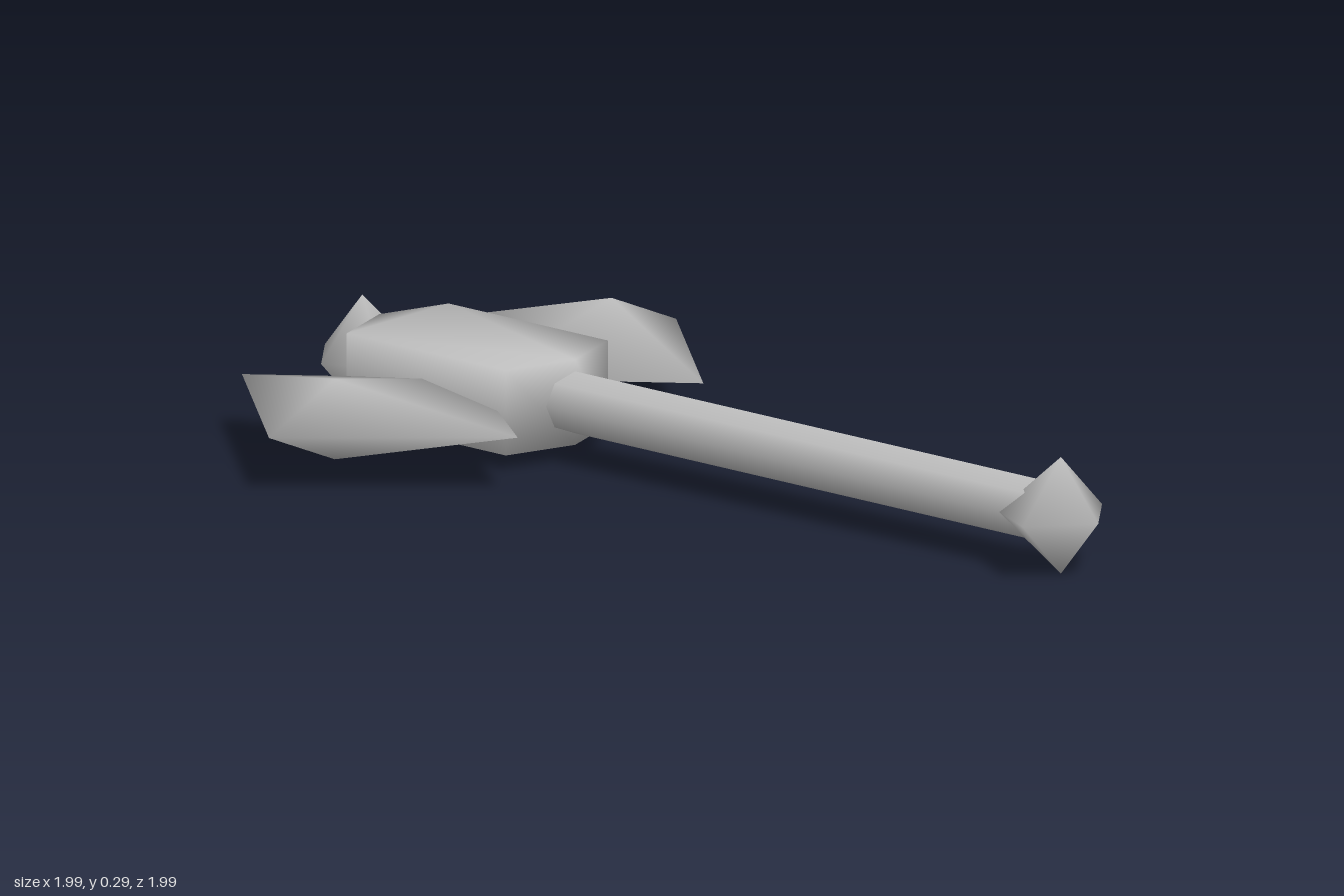
import * as THREE from 'three';
import { mergeVertices } from 'three/addons/utils/BufferGeometryUtils.js';

// Double pyramid over a counter-clockwise outline, with smooth shared normals
function bipyramid(outline, apex, height) {
  const n = outline.length;
  const pos = outline.flatMap(([x, y]) => [x, y, 0]);
  pos.push(apex[0], apex[1], height, apex[0], apex[1], -height);
  const index = [];
  for (let i = 0; i < n; i++) {
    const j = (i + 1) % n;
    index.push(i, j, n, j, i, n + 1);
  }
  const geo = new THREE.BufferGeometry();
  geo.setAttribute('position', new THREE.Float32BufferAttribute(pos, 3));
  geo.setIndex(index);
  geo.computeVertexNormals();
  return geo;
}

// Prism over an outline with its normals blended across the edges
function softPrism(outline, depth) {
  const shape = new THREE.Shape(outline.map(([x, y]) => new THREE.Vector2(x, y)));
  let geo = new THREE.ExtrudeGeometry(shape, { depth, bevelEnabled: false });
  geo.translate(0, 0, -depth / 2);
  geo.deleteAttribute('uv');
  geo.deleteAttribute('normal');
  geo = mergeVertices(geo);
  geo.computeVertexNormals();
  return geo;
}

export function createModel() {
  const metal = new THREE.MeshStandardMaterial({ color: 0xc0c0c0 });
  metal.name = 'plain grey';
  const model = new THREE.Group();
  model.name = 'doubleAxe';

  // Built with the shaft along y and the flat side facing z, then laid down diagonally
  const axe = new THREE.Group();
  axe.name = 'axe';
  model.add(axe);
  const add = (name, geo) => {
    const mesh = new THREE.Mesh(geo, metal);
    mesh.name = name;
    axe.add(mesh);
    return mesh;
  };

  // Shaft
  add('shaft', new THREE.CylinderGeometry(0.077, 0.077, 1.55, 8)).position.y = -0.425;

  // Head block
  add('headBlock', softPrism([
    [0, 0.305], [0.184, 0.364], [0.184, 0.876],
    [0, 0.935], [-0.184, 0.876], [-0.184, 0.364],
  ], 0.212));

  // Pair of blades
  const blade = [[0, 0.633], [0.335, 0.191], [0.735, 0.635], [0.339, 1.075]];
  add('rightBlade', bipyramid(blade, [0.5, 0.633], 0.1));
  add('leftBlade', bipyramid(blade.map(([x, y]) => [-x, y]).reverse(), [-0.5, 0.633], 0.1));

  // Five-sided pommel and top spike, pointing opposite ways
  const gem = [[0, 0.12], [-0.143, 0.005], [-0.073, -0.138], [0.073, -0.138], [0.143, 0.005]];
  add('topSpike', bipyramid(gem, [0, 0], 0.145)).position.y = 0.99;
  const pommel = add('pommel', bipyramid(gem, [0, 0], 0.145));
  pommel.position.y = -1.258;
  pommel.rotation.z = Math.PI;

  // Lay flat, head toward the back right corner
  const s = Math.SQRT1_2;
  axe.quaternion.setFromRotationMatrix(new THREE.Matrix4().makeBasis(
    new THREE.Vector3(s, 0, -s), new THREE.Vector3(-s, 0, -s), new THREE.Vector3(0, 1, 0)));
  axe.position.y = 0.145;
  return model;
}
